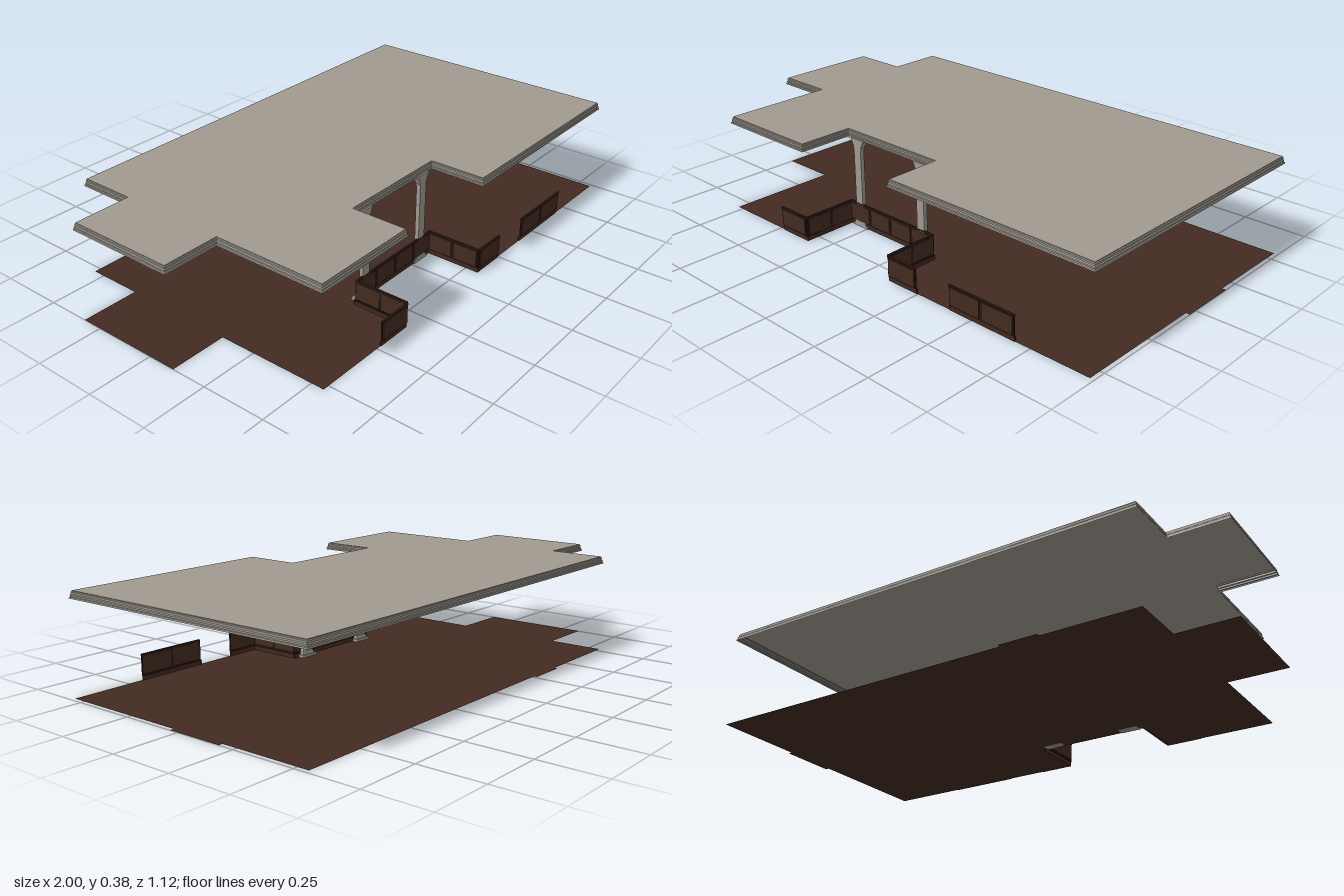
import * as THREE from 'three';

const mat = (name, color) => {
  const m = new THREE.MeshStandardMaterial({ color, side: THREE.DoubleSide });
  m.name = name;
  return m;
};

// Room plan as [x, z] corners
const PLAN = [
  [-0.775, -0.547], [0.985, -0.547], [0.985, 0.551], [0.108, 0.551], [0.108, 0.331], [-0.338, 0.331],
  [-0.338, 0.551], [-0.775, 0.551], [-0.775, 0.11], [-1, 0.11], [-1, -0.329], [-0.775, -0.329],
];

// Move every right-angled corner inwards by d
function inset(d) {
  const n = PLAN.length;
  return PLAN.map(([x, z], i) => {
    const [px, pz] = PLAN[(i + n - 1) % n], [qx, qz] = PLAN[(i + 1) % n];
    const dx = -Math.sign(z - pz) - Math.sign(qz - z);
    const dz = Math.sign(x - px) + Math.sign(qx - x);
    return [x + dx * d, z + dz * d];
  });
}

function slab(points, y) {
  const shape = new THREE.Shape(points.map(([x, z]) => new THREE.Vector2(x, z)));
  const g = new THREE.ShapeGeometry(shape);
  g.rotateX(Math.PI / 2);
  g.translate(0, y, 0);
  return g;
}

// Strip swept round the plan from a profile of [inset, y]
function crown(profile) {
  const rings = profile.map(([d, y]) => inset(d).map(([x, z]) => [x, y, z]));
  const pos = [];
  for (let k = 0; k < rings.length - 1; k++) {
    for (let i = 0; i < PLAN.length; i++) {
      const j = (i + 1) % PLAN.length;
      const a = rings[k][i], b = rings[k][j], c = rings[k + 1][j], d = rings[k + 1][i];
      pos.push(...a, ...d, ...c, ...a, ...c, ...b);
    }
  }
  const g = new THREE.BufferGeometry();
  g.setAttribute('position', new THREE.Float32BufferAttribute(pos, 3));
  g.computeVertexNormals();
  return g;
}

// Tapered block with a flat back at z = 0, reaching towards -z
function block(w0, d0, w1, d1, y0, y1) {
  const g = new THREE.BoxGeometry(1, 1, 1);
  const p = g.attributes.position;
  for (let i = 0; i < p.count; i++) {
    const top = p.getY(i) > 0;
    p.setXYZ(i, p.getX(i) * (top ? w1 : w0), top ? y1 : y0, p.getZ(i) < 0 ? -(top ? d1 : d0) : 0);
  }
  g.computeVertexNormals();
  return g;
}

export function createModel() {
  const model = new THREE.Group();
  const plaster = mat('plaster', 0xa09a90);
  const wood = mat('brown wood', 0x432a21);
  const darkWood = mat('dark wood', 0x2c1b14);
  const add = (parent, name, geo, m) => {
    const mesh = new THREE.Mesh(geo, m);
    mesh.name = name;
    parent.add(mesh);
    return mesh;
  };
  const box = (parent, name, m, w, h, d, x, y, z) =>
    add(parent, name, new THREE.BoxGeometry(w, h, d), m).position.set(x, y, z);

  // Floor with two doorway thresholds, ceiling and crown moulding
  add(model, 'floor', slab(PLAN, 0.001), wood);
  add(model, 'rightThreshold', slab([[0.985, -0.19], [1, -0.19], [1, 0.035], [0.985, 0.035]], 0.001), wood);
  add(model, 'backThreshold', slab([[-0.41, -0.56], [-0.26, -0.56], [-0.26, -0.547], [-0.41, -0.547]], 0.001), wood);
  add(model, 'ceiling', slab(inset(0.008), 0.385), plaster);
  add(model, 'crownMoulding', crown([
    [0, 0.357], [0.001, 0.362], [0.004, 0.364], [0.003, 0.37],
    [0.006, 0.373], [0.005, 0.38], [0.008, 0.382], [0.008, 0.385],
  ]), plaster);

  // Panelled low wall; local x runs along it, local +z is outwards
  function wainscot(name, length, count, x, z, turn = 0) {
    const g = new THREE.Group();
    g.name = name;
    box(g, 'wallFrame', darkWood, length, 0.074, 0.004, 0, 0.057, 0.002);
    box(g, 'capRail', darkWood, length, 0.006, 0.008, 0, 0.096, 0.003);
    box(g, 'baseboard', wood, length, 0.016, 0.007, 0, 0.008, -0.002);
    box(g, 'baseBead', darkWood, length, 0.004, 0.006, 0, 0.018, 0);
    const step = length / count;
    for (let i = 0; i < count; i++) {
      box(g, 'panel', wood, step - 0.01, 0.066, 0.009, (i + 0.5) * step - length / 2, 0.057, 0.0035);
    }
    g.position.set(x, 0, z);
    g.rotation.y = turn;
    model.add(g);
  }
  wainscot('frontLeftWainscot', 0.285, 2, 0.545, 0.551);
  wainscot('frontInnerLeftWainscot', 0.137, 1, 0.1765, 0.551);
  wainscot('frontInnerRightWainscot', 0.142, 1, -0.409, 0.551);
  wainscot('recessBackWainscot', 0.446, 4, -0.115, 0.331);
  wainscot('recessLeftWainscot', 0.22, 2, 0.108, 0.441, -Math.PI / 2);
  wainscot('recessRightWainscot', 0.22, 2, -0.338, 0.441, Math.PI / 2);

  // Fluted pilasters with stepped bases and flared capitals
  for (const x of [-0.285, 0.047]) {
    const g = new THREE.Group();
    g.name = 'pilaster';
    g.position.set(x, 0, 0.337);
    add(g, 'plinth', block(0.08, 0.037, 0.076, 0.035, 0, 0.01), plaster);
    add(g, 'baseStep', block(0.062, 0.029, 0.056, 0.026, 0.01, 0.022), plaster);
    add(g, 'baseTaper', block(0.052, 0.024, 0.038, 0.019, 0.022, 0.034), plaster);
    add(g, 'shaft', block(0.036, 0.013, 0.036, 0.013, 0.034, 0.322), plaster);
    for (const fx of [-0.014, 0, 0.014]) {
      const rib = add(g, 'shaftRib', block(0.008, 0.017, 0.008, 0.017, 0.034, 0.322), plaster);
      rib.position.x = fx;
    }
    add(g, 'neckRing', block(0.042, 0.02, 0.042, 0.02, 0.32, 0.326), plaster);
    add(g, 'capital', block(0.036, 0.018, 0.06, 0.029, 0.326, 0.352), plaster);
    add(g, 'abacus', block(0.066, 0.032, 0.066, 0.032, 0.352, 0.36), plaster);
    model.add(g);
  }
  return model;
}
